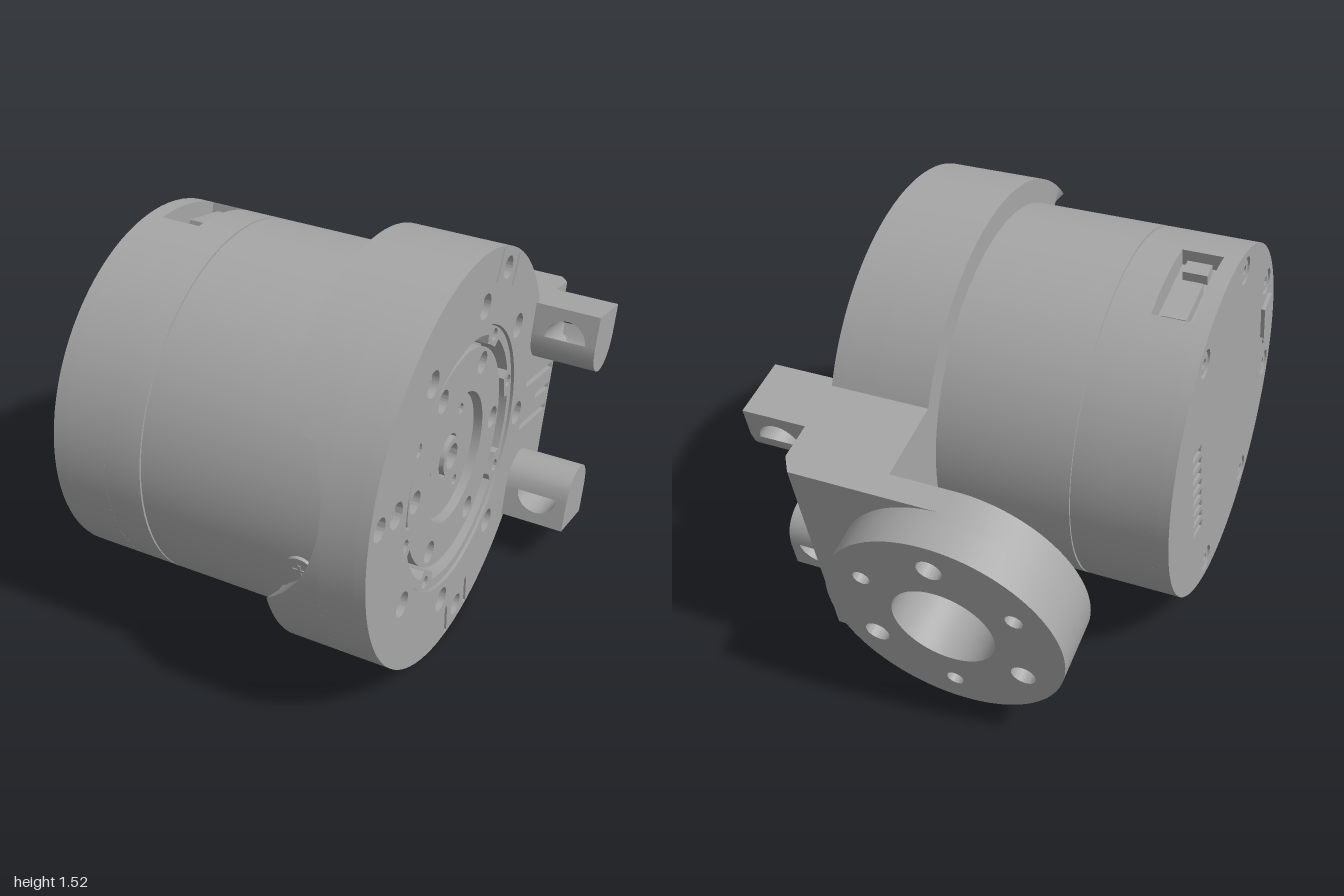
import * as THREE from 'three';
import { toCreasedNormals } from 'three/addons/utils/BufferGeometryUtils.js';

const rad = THREE.MathUtils.degToRad;
const grey = new THREE.MeshStandardMaterial({ color: 0xa6a6a6 });
grey.name = 'machined grey';

// Local frame: motor axis along x, arm pointing to -z. Outlines use u = -z and v = y.
const circle = (u, v, r) => new THREE.Path().absarc(u, v, r, 0, Math.PI * 2);
const polar = (r, deg) => [r * Math.cos(rad(deg)), r * Math.sin(rad(deg))];
const disc = (r) => new THREE.Shape().absarc(0, 0, r, 0, Math.PI * 2);

function slot(u, v, length, width, deg) {
  const a = rad(deg), c = Math.cos(a), s = Math.sin(a);
  const pts = [[-1, -1], [1, -1], [1, 1], [-1, 1]].map(([i, j]) => {
    const p = i * length / 2, q = j * width / 2;
    return new THREE.Vector2(u + p * c - q * s, v + p * s + q * c);
  });
  return new THREE.Path(pts);
}

function add(parent, name, geometry, crease = 0.5) {
  const mesh = new THREE.Mesh(toCreasedNormals(geometry, crease), grey);
  mesh.name = name;
  parent.add(mesh);
  return mesh;
}

const extrude = (shape, depth, steps = 1) =>
  new THREE.ExtrudeGeometry(shape, { depth, steps, bevelEnabled: false, curveSegments: 48 });
const layerX = (shape, x0, x1) => extrude(shape, x1 - x0).rotateY(Math.PI / 2).translate(x0, 0, 0);
const cylX = (r, x0, x1, u = 0, v = 0, sides = 96) =>
  new THREE.CylinderGeometry(r, r, x1 - x0, sides).rotateZ(-Math.PI / 2).translate((x0 + x1) / 2, v, -u);
const box = (w, h, d, x, y, z) => new THREE.BoxGeometry(w, h, d).translate(x, y, z);

// Round flange with the straight arm running to u = end
function flangeOutline(end) {
  const a = Math.asin(0.44 / 0.76);
  const s = new THREE.Shape().absarc(0, 0, 0.76, a, Math.PI * 2 - a);
  s.lineTo(end, -0.44);
  s.lineTo(end, 0.44);
  s.closePath();
  s.holes.push(circle(0, 0, 0.485));
  for (const d of [75, 180, 285]) s.holes.push(circle(...polar(0.685, d), 0.042));
  return s;
}

function buildBody(g) {
  // Rear cover with vent slots and screw recesses
  const cover = disc(0.67);
  const screws = [66, 22, 114, -22, -66, -114].map((d) => polar(0.59, 180 - d));
  for (const p of screws) cover.holes.push(circle(...p, 0.052));
  for (let i = 0; i < 8; i++) cover.holes.push(slot(0.34, -0.23 + i * 0.06, 0.1, 0.03, 20));
  add(g, 'rearCover', layerX(cover, -0.74, -0.71));
  for (const [u, v] of screws) {
    const head = disc(0.04);
    head.holes.push(circle(0, 0, 0.018));
    add(g, 'rearScrew', layerX(head, -0.735, -0.7).translate(0, v, -u));
  }
  add(g, 'rearConnector', box(0.03, 0.15, 0.1, -0.74, 0.06, 0.53));
  add(g, 'rearPin', cylX(0.025, -0.745, -0.73, -0.54, -0.07, 20));

  // Housing with a connector window at top and bottom
  const w = Math.asin(0.17 / 0.67), h = Math.PI / 2;
  const notched = new THREE.Shape().absarc(0, 0, 0.67, h + w, 3 * h - w);
  notched.lineTo(-0.17, -0.58);
  notched.lineTo(0.17, -0.58);
  notched.absarc(0, 0, 0.67, -h + w, h - w);
  notched.lineTo(0.17, 0.58);
  notched.lineTo(-0.17, 0.58);
  add(g, 'housingRear', cylX(0.67, -0.71, -0.68));
  add(g, 'housingWindows', layerX(notched, -0.68, -0.53));
  add(g, 'housingMiddle', cylX(0.67, -0.53, -0.389));
  add(g, 'housingSeam', cylX(0.662, -0.389, -0.381));
  add(g, 'housingFront', cylX(0.67, -0.381, 0.4));
  for (const s of [1, -1]) {
    add(g, 'socket', box(0.09, 0.05, 0.19, -0.6, s * 0.6, -0.05));
    add(g, 'smallSocket', box(0.09, 0.04, 0.06, -0.6, s * 0.6, 0.12));
  }

  // Cross-head screws around the housing
  for (const d of [22.5, -22.5, 157.5, 202.5]) {
    const screw = new THREE.Group();
    screw.name = 'sideScrew';
    add(screw, 'screwHead', new THREE.CylinderGeometry(0.055, 0.055, 0.03, 28).rotateX(Math.PI / 2));
    for (const r of [0, Math.PI / 2]) add(screw, 'screwCross', box(0.05, 0.01, 0.005, 0, 0, 0.016).rotateZ(r));
    screw.position.set(0.22, 0.665 * Math.sin(rad(d)), 0.665 * Math.cos(rad(d)));
    screw.rotation.x = -rad(d);
    g.add(screw);
  }
}

function buildFlange(g) {
  // Front layer: screw holes, pin grooves, arm grooves and a chamfered end
  const face = flangeOutline(0.96);
  for (let i = 0; i < 8; i++) face.holes.push(circle(...polar(0.56, i * 45), 0.047));
  for (const d of [75, -75]) for (const s of [1, -1]) {
    const [u, v] = polar(0.685, d), [du, dv] = polar(s * 0.09, d + 90);
    face.holes.push(slot(u + du, v + dv, 0.12, 0.02, d));
  }
  for (const [u0, v] of [[0.63, 0.095], [0.78, 0.005], [0.63, -0.085]])
    face.holes.push(slot((u0 + 0.945) / 2, v, 0.945 - u0, 0.025, 0));
  const faceGeo = layerX(face, 0.46, 0.5);
  const p = faceGeo.attributes.position;
  for (let i = 0; i < p.count; i++) if (p.getZ(i) < -0.955 && p.getX(i) < 0.47) p.setZ(i, -1.02);
  add(g, 'flangeFace', faceGeo);
  add(g, 'flangePlate', layerX(flangeOutline(1.02), 0.33, 0.46));
  for (let i = 0; i < 8; i++) {
    const head = disc(0.032);
    head.holes.push(circle(0, 0, 0.016));
    const [u, v] = polar(0.56, i * 45);
    add(g, 'flangeScrew', layerX(head, 0.45, 0.48).translate(0, v, -u));
  }

  // Rim behind the flange, scooped out by a round cut on the side away from the arm
  const profile = [[0.66, 0.33], [0.66, 0.125], [0.76, 0.125], [0.76, 0.33], [0.66, 0.33]];
  const rim = new THREE.LatheGeometry(profile.map(([r, y]) => new THREE.Vector2(r, y)), 144).rotateZ(-Math.PI / 2);
  const q = rim.attributes.position;
  for (let i = 0; i < q.count; i++) {
    const v = q.getY(i);
    if (q.getX(i) < 0.2 && q.getZ(i) > 0 && Math.abs(v) < 0.455)
      q.setX(i, Math.max(0.125, -0.126 + Math.sqrt(0.455 ** 2 - v * v)));
  }
  add(g, 'flangeRim', rim);
}

function buildOutput(g) {
  // Fixed ring with lobes around its screws
  const angles = [22.5, 67.5, 157.5, 202.5, 247.5, 337.5];
  const ring = disc(0.48), lobes = [];
  for (let d = 0; d < 360; d += 2) {
    const near = Math.min(...angles.map((a) => Math.abs(((d - a + 540) % 360) - 180)));
    lobes.push(new THREE.Vector2(...polar(near < 7 ? 0.412 : 0.445, d)));
  }
  ring.holes.push(new THREE.Path(lobes));
  for (const a of angles) ring.holes.push(circle(...polar(0.45, a), 0.024));
  add(g, 'fixedRing', layerX(ring, 0.39, 0.49));

  // Turning disc with bolt holes and a sunken hub
  const rotor = disc(0.4);
  rotor.holes.push(circle(0, 0, 0.24));
  for (let i = 0; i < 6; i++) rotor.holes.push(circle(...polar(0.345, 7.5 + i * 60), 0.042));
  add(g, 'rotor', layerX(rotor, 0.4, 0.475));
  const hub = disc(0.23);
  hub.holes.push(circle(0, 0, 0.08));
  for (const d of [68, 188, 308]) hub.holes.push(circle(...polar(0.17, d), 0.02));
  add(g, 'hub', layerX(hub, 0.4, 0.445));
  const boss = disc(0.072);
  boss.holes.push(circle(0, 0, 0.048));
  add(g, 'hubSleeve', layerX(boss, 0.4, 0.46));
}

function buildArm(g) {
  add(g, 'armBlock', box(0.21, 0.88, 0.5, 0.23, 0, -0.77));

  // Mounting ring at the arm end: drilled outer plate and pocketed inner plate
  const outer = disc(0.44), inner = disc(0.44);
  outer.holes.push(circle(0, 0, 0.19));
  inner.holes.push(circle(0, 0, 0.19));
  for (let i = 0; i < 6; i++) {
    outer.holes.push(circle(...polar(0.32, 30 + i * 60), i % 2 ? 0.046 : 0.032));
    inner.holes.push(circle(...polar(0.315, 30 + i * 60), 0.105));
  }
  add(g, 'mountingRing', extrude(outer, 0.115).translate(-0.11, 0, -1.165));
  add(g, 'mountingRingPockets', extrude(inner, 0.125).translate(-0.11, 0, -1.05));

  // Corner webs between ring and arm
  const web = new THREE.Shape().moveTo(0.25, 0.44).lineTo(0, 0.44);
  web.absarc(0, 0, 0.44, Math.PI / 2, Math.acos(0.25 / 0.44), true);
  for (const s of [1, -1])
    add(g, 'cornerWeb', extrude(web, 0.095).translate(-0.11, 0, -1.02)).scale.y = s;

  // Cross-drilled lugs, rounded towards the middle of the arm
  const lug = new THREE.Shape([[0.48, 0.2], [0.75, 0.2], [0.75, 0.44], [0.48, 0.44]]
    .map(([x, y]) => new THREE.Vector2(x, y)));
  lug.holes.push(circle(0.63, 0.315, 0.08));
  const r = 0.1175, mid = -0.7025;
  const geo = extrude(lug, 2 * r, 24).translate(0, 0, mid - r);
  const p = geo.attributes.position;
  for (let i = 0; i < p.count; i++) {
    const dz = p.getZ(i) - mid;
    p.setY(i, Math.max(p.getY(i), 0.318 - Math.sqrt(Math.max(0, r * r - dz * dz))));
  }
  for (const s of [1, -1]) add(g, 'lug', geo.clone()).scale.y = s;
}

export function createModel() {
  const model = new THREE.Group();
  model.name = 'motorJoint';
  const joint = new THREE.Group();
  joint.name = 'tiltedJoint';
  for (const [name, build] of [['motorBody', buildBody], ['flange', buildFlange], ['output', buildOutput], ['arm', buildArm]]) {
    const part = new THREE.Group();
    part.name = name;
    build(part);
    joint.add(part);
  }
  joint.rotation.x = -rad(15);
  joint.position.set(0, 0.765, 0.24);
  model.add(joint);
  return model;
}
